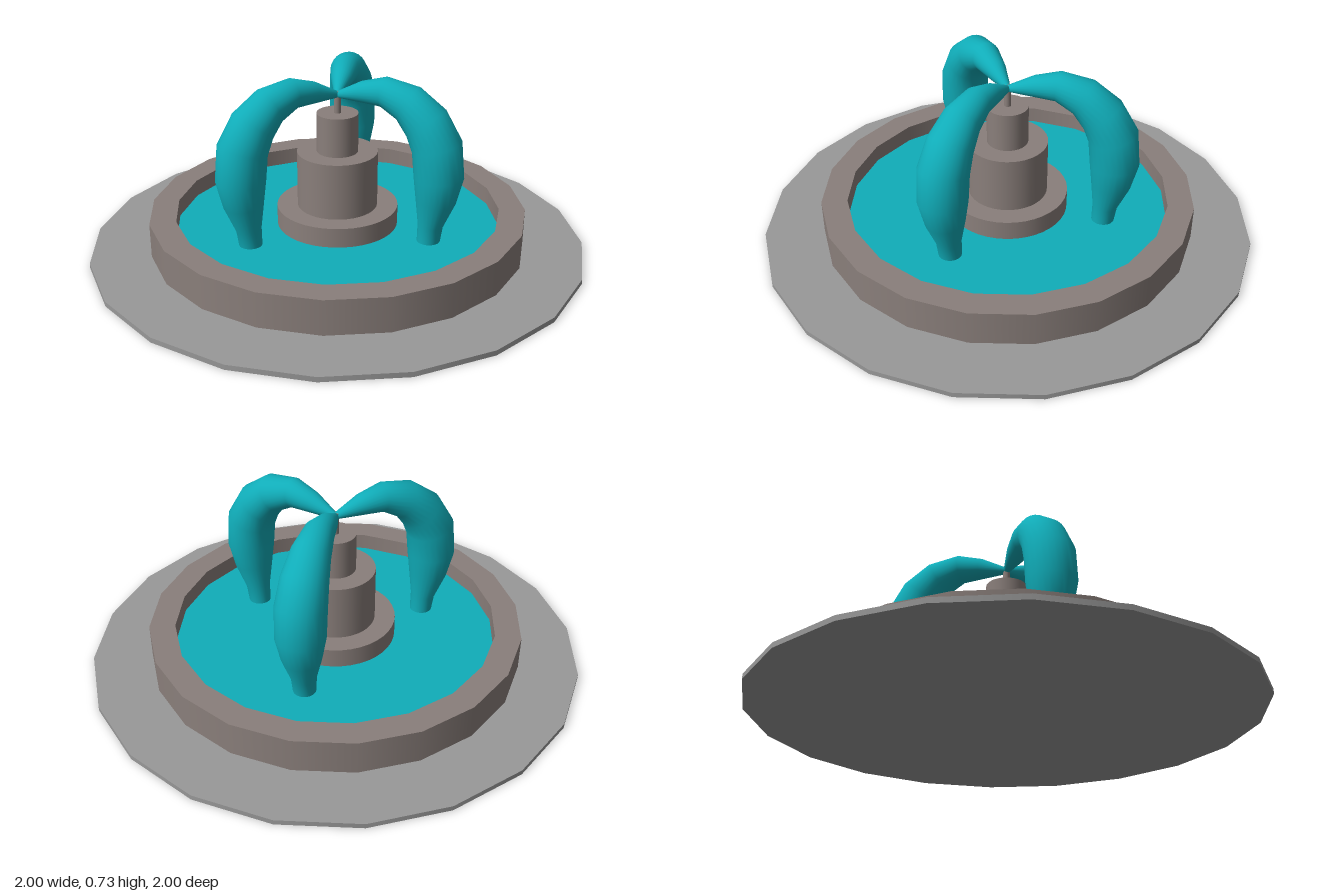
import * as THREE from 'three';
import { mergeGeometries } from 'three/addons/utils/BufferGeometryUtils.js';

const paving = new THREE.MeshStandardMaterial({ color: 0x999999 });
const stone = new THREE.MeshStandardMaterial({ color: 0x8a7f7b });
const water = new THREE.MeshStandardMaterial({ color: 0x10adb9 });

// Turned solid with hard edges: one smooth lathe band per profile segment
function turned(name, profile, sides, material) {
  const bands = [];
  for (let i = 0; i < profile.length - 1; i++) {
    const ends = [profile[i], profile[i + 1]].map(([r, y]) => new THREE.Vector2(r, y));
    bands.push(new THREE.LatheGeometry(ends, sides));
  }
  const mesh = new THREE.Mesh(mergeGeometries(bands), material);
  mesh.name = name;
  return mesh;
}

// Closed drum between two heights
function drum(name, radius, y0, y1, sides, material) {
  return turned(name, [[0, y0], [radius, y0], [radius, y1], [0, y1]], sides, material);
}

// Arching jet: round sections [distance out, height, radius] across the path
const JET = [
  [0, 0.635, 0], [0, 0.635, 0.013], [0.11, 0.662, 0.043], [0.2, 0.676, 0.059],
  [0.3, 0.645, 0.076], [0.375, 0.578, 0.09], [0.422, 0.49, 0.098], [0.434, 0.37, 0.097],
  [0.425, 0.27, 0.079], [0.407, 0.16, 0.05], [0.4, 0.08, 0.045],
];

function jetGeometry(sides = 24) {
  const pos = [], index = [];
  JET.forEach(([x, y, r], i) => {
    const a = JET[Math.max(i - 1, 0)], b = JET[Math.min(i + 1, JET.length - 1)];
    const t = new THREE.Vector2(b[0] - a[0], b[1] - a[1]);
    if (t.length() === 0) t.set(1, 0.25);
    t.normalize();
    for (let j = 0; j < sides; j++) {
      const ang = (j / sides) * Math.PI * 2;
      const n = r * Math.cos(ang);
      pos.push(x - t.y * n, y + t.x * n, r * Math.sin(ang));
      if (i === 0) continue;
      const k = (j + 1) % sides;
      const p = (i - 1) * sides, q = i * sides;
      index.push(p + j, p + k, q + j, p + k, q + k, q + j);
    }
  });
  const geo = new THREE.BufferGeometry();
  geo.setAttribute('position', new THREE.Float32BufferAttribute(pos, 3));
  geo.setIndex(index);
  geo.computeVertexNormals();
  return geo;
}

export function createModel() {
  const fountain = new THREE.Group();
  fountain.name = 'fountain';

  // Paving and basin
  fountain.add(drum('pavingDisc', 1, 0, 0.02, 20, paving));
  fountain.add(turned('basinWall',
    [[0.76, 0.02], [0.76, 0.16], [0.655, 0.16], [0.655, 0.02]], 20, stone));
  fountain.add(turned('waterSurface', [[0.655, 0.09], [0, 0.09]], 20, water));

  // Stepped pedestal and nozzle
  const steps = [
    ['pedestalFoot', 0.245, 0.02, 0.17], ['pedestalMiddle', 0.162, 0.17, 0.4],
    ['pedestalTop', 0.083, 0.4, 0.56], ['nozzle', 0.014, 0.56, 0.65],
  ];
  for (const [name, r, y0, y1] of steps) fountain.add(drum(name, r, y0, y1, 40, stone));

  // Three jets of water
  const jet = jetGeometry();
  [180, 49, -59].forEach((deg, i) => {
    const mesh = new THREE.Mesh(jet, water);
    mesh.name = `waterJet${i + 1}`;
    mesh.rotation.y = THREE.MathUtils.degToRad(deg);
    fountain.add(mesh);
  });
  return fountain;
}
